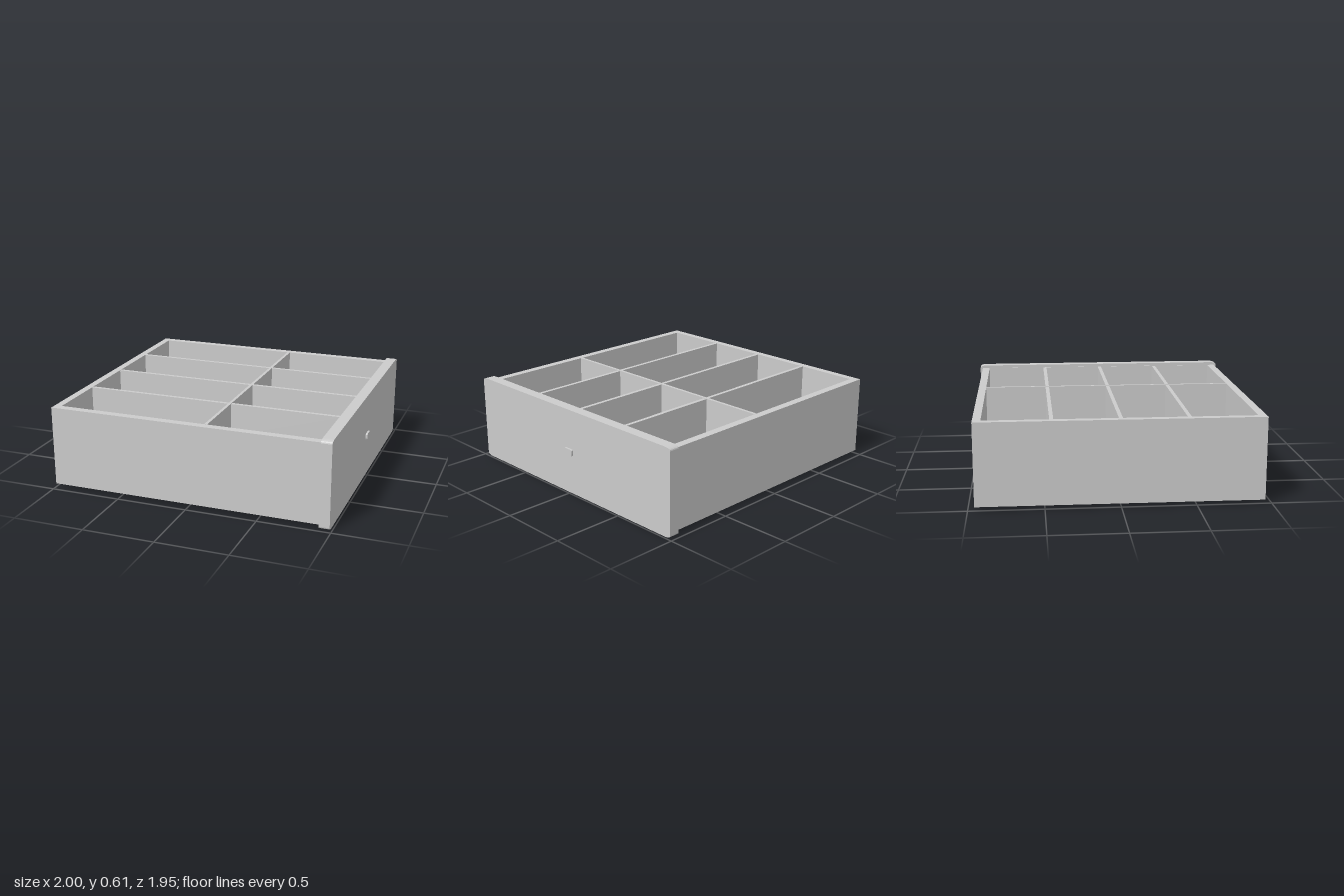
import * as THREE from 'three';

const material = new THREE.MeshStandardMaterial({ color: 0xcccccc, flatShading: true });

// Box given by its min and max corners
function block(name, x0, x1, y0, y1, z0, z1) {
  const mesh = new THREE.Mesh(new THREE.BoxGeometry(x1 - x0, y1 - y0, z1 - z0), material);
  mesh.position.set((x0 + x1) / 2, (y0 + y1) / 2, (z0 + z1) / 2);
  mesh.name = name;
  return mesh;
}

// Rectangle with softened corners, extruded along x from x0 to x1
function panel(name, x0, x1, y0, y1, halfZ, cz, top, bottom) {
  const s = new THREE.Shape();
  s.moveTo(-halfZ + cz, y0);
  s.lineTo(halfZ - cz, y0);
  s.quadraticCurveTo(halfZ, y0, halfZ, y0 + bottom);
  s.lineTo(halfZ, y1 - top);
  s.quadraticCurveTo(halfZ, y1, halfZ - cz, y1);
  s.lineTo(-halfZ + cz, y1);
  s.quadraticCurveTo(-halfZ, y1, -halfZ, y1 - top);
  s.lineTo(-halfZ, y0 + bottom);
  s.quadraticCurveTo(-halfZ, y0, -halfZ + cz, y0);
  const geometry = new THREE.ExtrudeGeometry(s, { depth: x1 - x0, bevelEnabled: false, curveSegments: 5 });
  geometry.rotateY(Math.PI / 2);
  geometry.translate(x0, 0, 0);
  const mesh = new THREE.Mesh(geometry, material);
  mesh.name = name;
  return mesh;
}

export function createModel() {
  const drawer = new THREE.Group();
  drawer.name = 'drawer';
  const back = -1, backInner = -0.949, front = 0.911, frontInner = 0.907;
  const bottom = 0.025, floorTop = 0.035, rim = 0.588;
  const half = 0.957, inner = 0.902;

  // Tray: thin floor, back wall, thin front wall and two side walls
  drawer.add(block('floor', back, front, bottom, floorTop, -half, half));
  drawer.add(block('backWall', back, backInner, floorTop, rim, -half, half));
  drawer.add(block('frontWall', frontInner, front, floorTop, rim, -half, half));
  drawer.add(block('leftWall', backInner, frontInner, floorTop, rim, -half, -inner));
  drawer.add(block('rightWall', backInner, frontInner, floorTop, rim, inner, half));

  // Dividers: three long ones crossed by a single one
  for (const z of [-0.45, 0, 0.45]) {
    drawer.add(block('longDivider', backInner, frontInner, floorTop, rim - 0.001, z - 0.013, z + 0.013));
  }
  drawer.add(block('crossDivider', 0.104, 0.125, floorTop, rim + 0.001, -inner, inner));

  // Front panel with softened corners, and its small pull
  drawer.add(panel('frontPanel', front, 0.986, 0, 0.61, 0.976, 0.055, 0.02, 0.02));
  drawer.add(panel('pull', 0.986, 1, 0.28, 0.33, 0.041, 0.022, 0.008, 0.022));
  return drawer;
}
